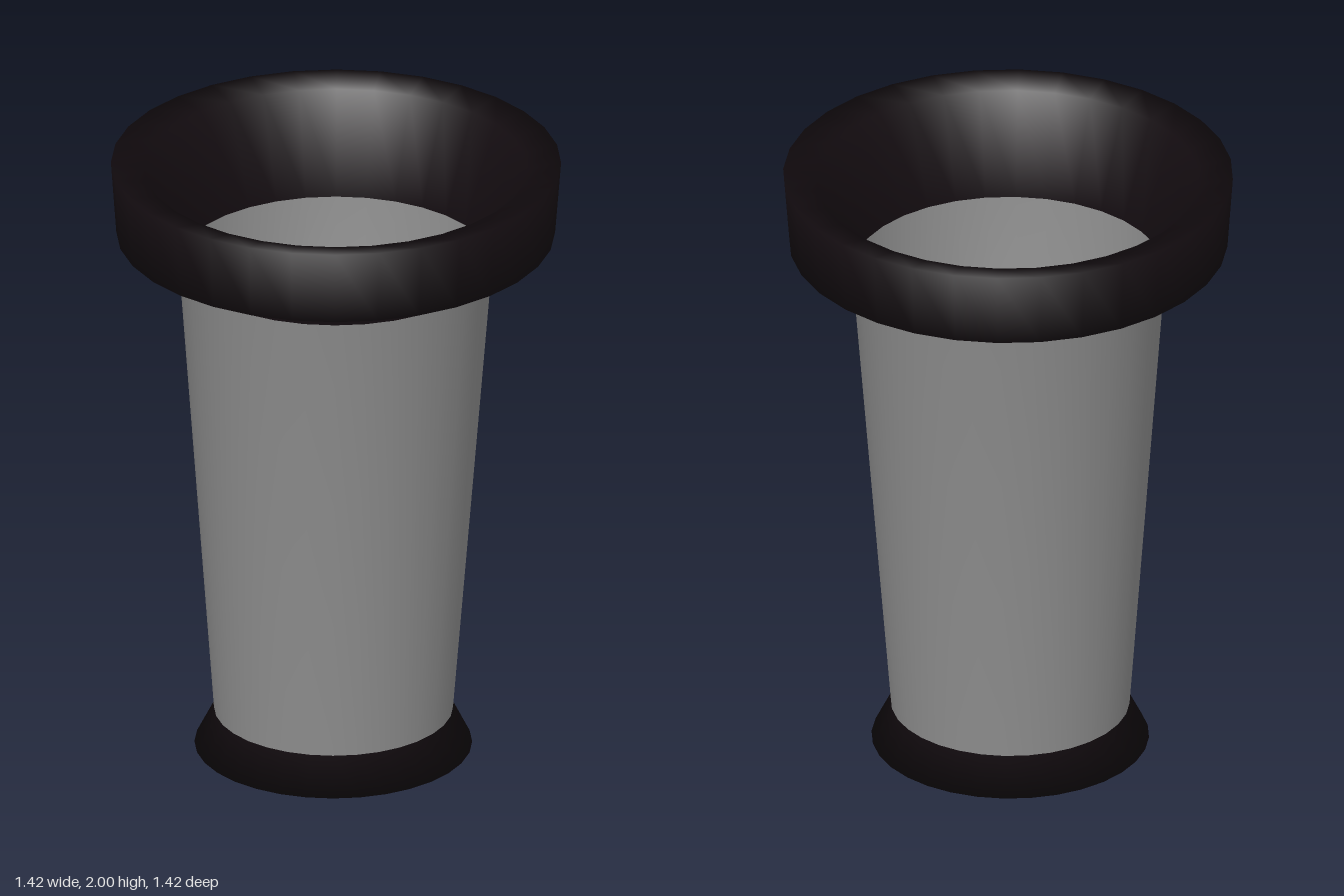
import * as THREE from 'three';

const SIDES = 32;

// One closed outline [radius, height]: up the outside, over the lip, down the inside
const OUTLINE = [
  [0, 0], [0.438, 0], [0.377, 0.12],              // foot
  [0.495, 1.66],                                  // outer wall
  [0.56, 1.76], [0.692, 1.76], [0.71, 2],         // neck and collar
  [0.605, 1.98], [0.491, 1.66],                   // lip and funnel
  [0.374, 0.12], [0, 0.12],                       // inner wall and floor
];

// Turn the whole outline so that shading flows smoothly from part to part
function turnedForm() {
  const geometry = new THREE.LatheGeometry(OUTLINE.map(([r, y]) => new THREE.Vector2(r, y)), SIDES);
  // the form leans very slightly towards -x at its foot
  const pos = geometry.attributes.position;
  for (let i = 0; i < pos.count; i++) {
    pos.setX(i, pos.getX(i) - 0.012 * (1 - pos.getY(i) / 2));
  }
  return geometry;
}

// Take the bands between outline points first and last as one named part
function part(form, name, first, last, color) {
  const bands = OUTLINE.length - 1;
  const index = [];
  for (let s = 0; s < SIDES; s++) {
    const start = (s * bands + first) * 6;
    index.push(...form.index.array.slice(start, start + (last - first) * 6));
  }
  const geometry = form.clone().setIndex(index);
  const mesh = new THREE.Mesh(geometry, new THREE.MeshStandardMaterial({ color }));
  mesh.name = name;
  return mesh;
}

export function createModel() {
  const model = new THREE.Group();
  model.name = 'taperedCup';
  const form = turnedForm();
  const dark = 0x130c10;
  const grey = 0x8c8c8c;

  model.add(
    part(form, 'foot', 0, 2, dark),
    part(form, 'outerWall', 2, 3, grey),
    part(form, 'rim', 3, 8, dark),
    part(form, 'innerWall', 8, 9, grey),
    part(form, 'floor', 9, 10, dark),
  );
  return model;
}
